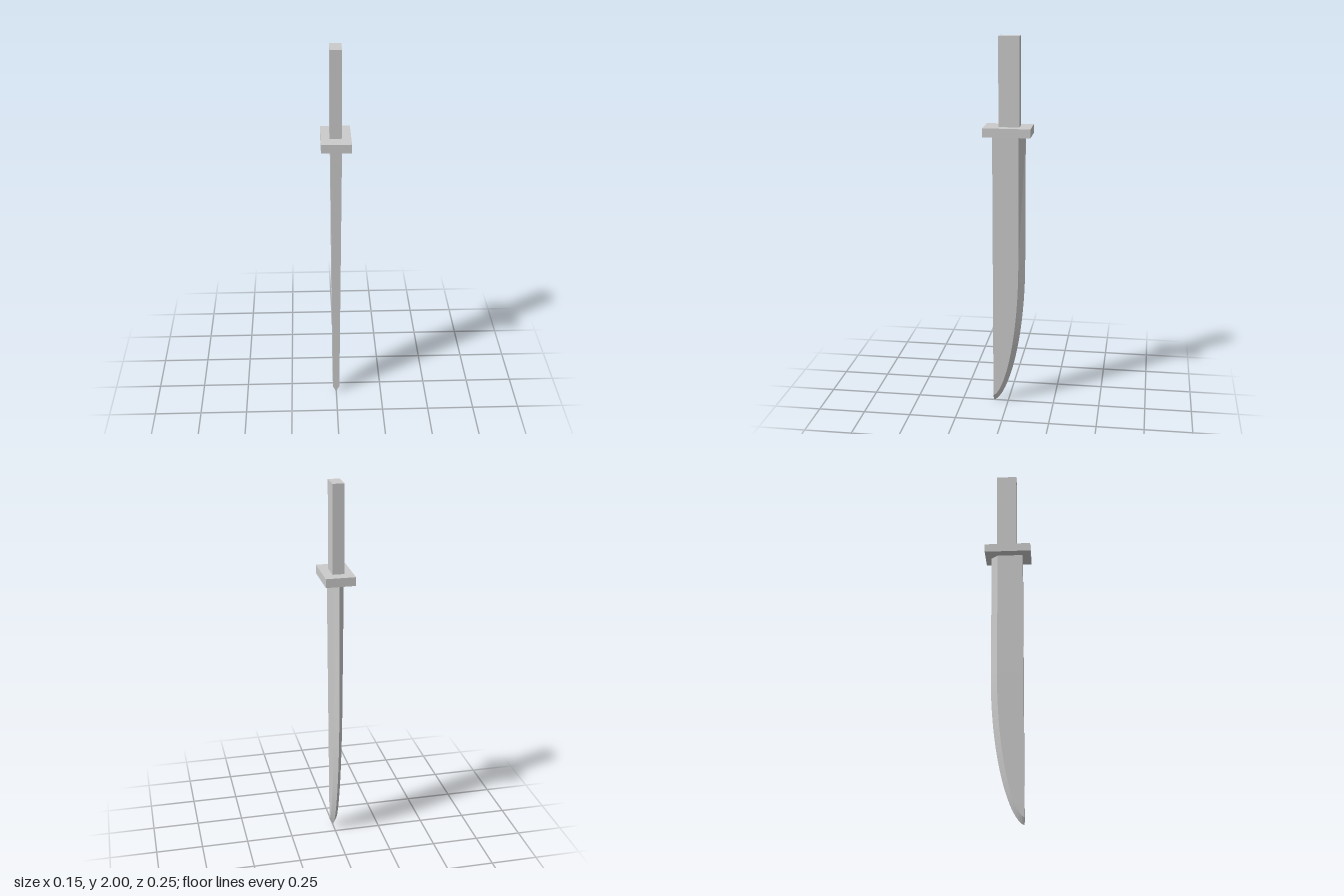
import * as THREE from 'three';

const material = new THREE.MeshStandardMaterial({ color: 0xcccccc, flatShading: true });

function box(name, w, h, d, x, y, z) {
  const mesh = new THREE.Mesh(new THREE.BoxGeometry(w, h, d), material);
  mesh.name = name;
  mesh.position.set(x, y, z);
  return mesh;
}

// One blade section: flat spine at +z, two sides, and a bevel down to the edge at -z
function section(yBody, zBevel, yEdge, zEdge) {
  const w = 0.018 + 0.0075 * yBody;
  const c = -0.001;
  return [
    [c + w, yBody, 0.08], [c + w, yBody, zBevel], [c, yEdge, zEdge],
    [c - w, yBody, zBevel], [c - w, yBody, 0.08],
  ];
}

function bladeGeometry() {
  const rings = [section(1.51, -0.057, 1.51, -0.091)];
  // Straight upper blade, then the cutting edge sweeps forward to the tip
  const steps = 24;
  for (let i = 0; i <= steps; i++) {
    const a = (i / steps) * Math.PI / 2;
    const s = Math.sin(a);
    const k = i === steps ? 0 : Math.pow(Math.cos(a), 1.2);
    rings.push(section(0.8 - 0.76 * s, 0.08 - 0.137 * k, 0.8 - 0.795 * s, 0.08 - 0.171 * k));
  }
  const positions = [];
  const tri = (...points) => points.forEach((p) => positions.push(...p));
  for (let i = 0; i < rings.length - 1; i++) {
    for (let j = 0; j < 5; j++) {
      const n = (j + 1) % 5;
      const a = rings[i][j], b = rings[i][n], c = rings[i + 1][j], d = rings[i + 1][n];
      tri(a, c, b);
      tri(c, d, b);
    }
  }
  // Small triangle closing the spine at the tip
  const end = rings[rings.length - 1];
  tri(end[3], end[2], end[1]);
  // Cap inside the guard
  const top = rings[0];
  for (let j = 1; j < 4; j++) tri(top[0], top[j], top[j + 1]);

  const geometry = new THREE.BufferGeometry();
  geometry.setAttribute('position', new THREE.Float32BufferAttribute(positions, 3));
  geometry.computeVertexNormals();
  return geometry;
}

export function createModel() {
  const group = new THREE.Group();
  group.name = 'sword';

  const blade = new THREE.Mesh(bladeGeometry(), material);
  blade.name = 'blade';
  group.add(blade);

  group.add(box('guard', 0.154, 0.046, 0.247, -0.001, 1.517, 0));
  group.add(box('handle', 0.061, 0.48, 0.108, -0.002, 1.76, -0.007));
  return group;
}
